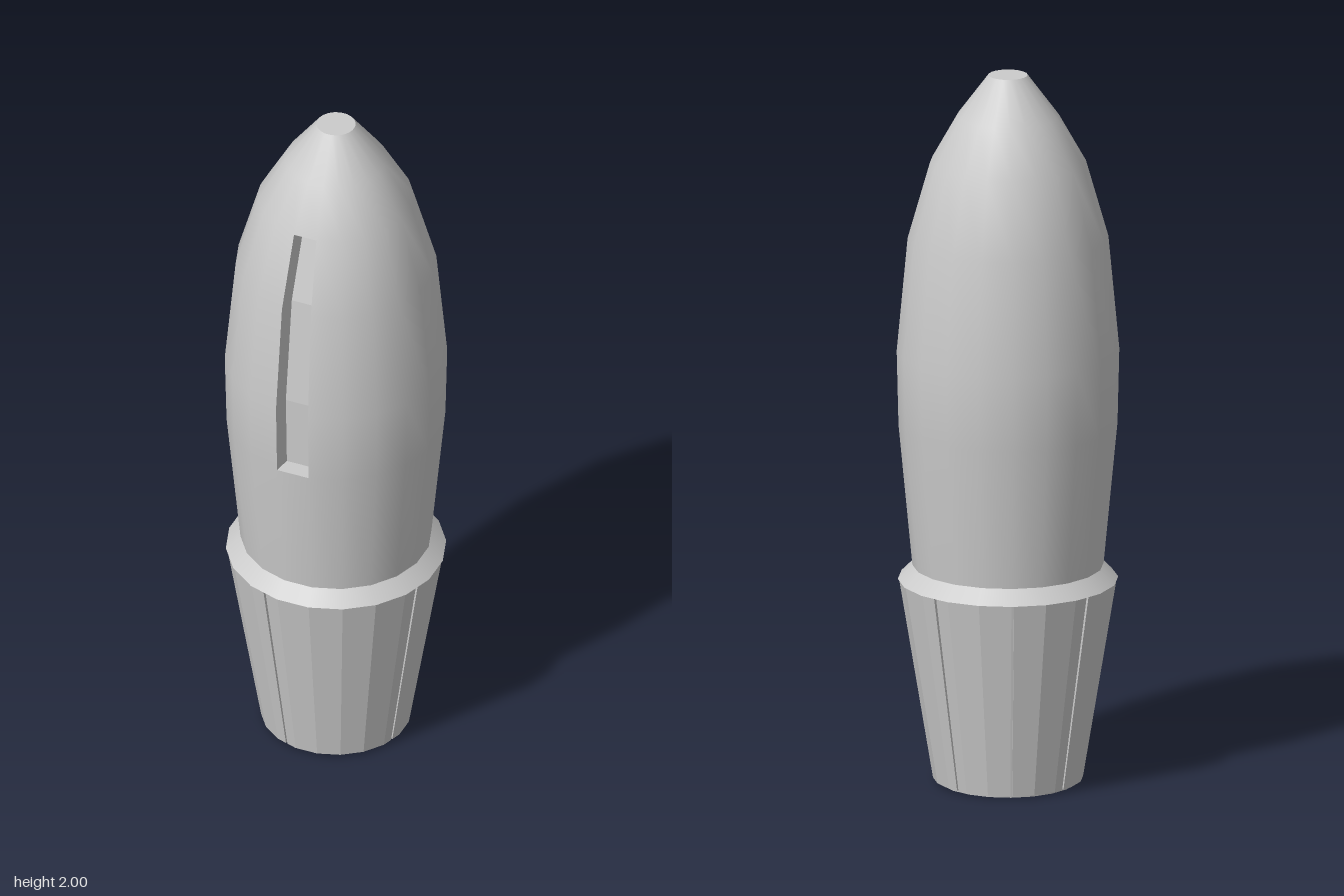
import * as THREE from 'three';

const SIDES = 20;
const STEP = (Math.PI * 2) / SIDES;
const smooth = new THREE.MeshStandardMaterial({ color: 0xcccccc });
const flat = new THREE.MeshStandardMaterial({ color: 0xcccccc, flatShading: true });

const point = (r, a, y) => [r * Math.sin(a), y, r * Math.cos(a)];

// Revolved surface; profile is [radius, height] pairs, rising profiles face outward
function lathe(name, profile) {
  const pts = profile.map(([r, y]) => new THREE.Vector2(r, y));
  const mesh = new THREE.Mesh(new THREE.LatheGeometry(pts, SIDES), smooth);
  mesh.name = name;
  return mesh;
}

// Flat-shaded skin through cross-sections stacked upward, plus optional extra quads
function skin(name, sections, quads = []) {
  const pos = [];
  const quad = (a, b, c, d) => pos.push(...a, ...b, ...c, ...a, ...c, ...d);
  for (let j = 0; j < sections.length - 1; j++) {
    const lo = sections[j], hi = sections[j + 1];
    for (let i = 0; i < lo.length - 1; i++) quad(lo[i], lo[i + 1], hi[i + 1], hi[i]);
  }
  quads.forEach((q) => quad(...q));
  const geo = new THREE.BufferGeometry();
  geo.setAttribute('position', new THREE.Float32BufferAttribute(pos, 3));
  geo.computeVertexNormals();
  const mesh = new THREE.Mesh(geo, flat);
  mesh.name = name;
  return mesh;
}

export function createModel() {
  const model = new THREE.Group();
  model.name = 'projectile';

  // Ogive body with one facet left open for the slot
  const profile = [[0.262, 0.612], [0.3, 1.01], [0.305, 1.22], [0.275, 1.54],
    [0.2135, 1.755], [0.14, 1.885], [0.054, 2]];
  const slotSegment = 18, firstRow = 1, lastRow = 4;
  const body = lathe('body', profile);
  const rows = profile.length - 1;
  const index = Array.from(body.geometry.index.array);
  const kept = index.filter((_, k) => {
    const cell = Math.floor(k / 6);
    const row = cell % rows;
    return !(Math.floor(cell / rows) === slotSegment && row >= firstRow && row < lastRow);
  });
  body.geometry.setIndex(kept);
  model.add(body);
  model.add(lathe('noseCap', [[0.054, 2], [0, 2]]));

  // Recessed slot following the body curve
  const depth = 0.05, a0 = slotSegment * STEP, a1 = a0 + STEP;
  const slot = profile.slice(firstRow, lastRow + 1).map(([r, y]) => [
    point(r, a0, y), point(r - depth, a0, y), point(r - depth, a1, y), point(r, a1, y),
  ]);
  const low = slot[0], high = slot[slot.length - 1];
  model.add(skin('slot', slot, [
    [low[0], low[3], low[2], low[1]],
    [high[0], high[1], high[2], high[3]],
  ]));

  // Sloping collar between body and skirt
  model.add(lathe('collar', [[0.302, 0.572], [0.262, 0.612]]));
  model.add(lathe('collarUnderside', [[0.26, 0.572], [0.302, 0.572]]));

  // Hollow tail tube behind the skirt panels
  model.add(lathe('tailInside', [[0.277, 0.57], [0.187, 0]]));
  model.add(lathe('tailOutside', [[0.192, 0], [0.284, 0.572]]));
  model.add(lathe('tailRim', [[0.187, 0], [0.2, 0]]));
  model.add(lathe('tailCeiling', [[0, 0.57], [0.278, 0.57]]));

  // Skirt panels separated by narrow grooves; the front panel is double width
  const skirt = new THREE.Group();
  skirt.name = 'skirt';
  const gap = 0.013, eighth = Math.PI / 4;
  const facetRadius = (r, a) => {
    const offset = a - (Math.floor(a / STEP + 1e-6) + 0.5) * STEP;
    return (r * Math.cos(STEP / 2)) / Math.cos(offset);
  };
  for (let k = 0; k < 7; k++) {
    const start = (k === 0 ? -1 : k) * eighth + gap;
    const end = (k + 1) * eighth - gap;
    const angles = [start];
    for (let i = Math.ceil(start / STEP); i * STEP < end; i++) angles.push(i * STEP);
    angles.push(end);
    const section = (inner, outer, y) => [
      point(facetRadius(inner, start), start, y),
      ...angles.map((a) => point(facetRadius(outer, a), a, y)),
      point(facetRadius(inner, end), end, y),
    ];
    const bottom = angles.slice(1).map((b, i) => {
      const a = angles[i];
      const at = (r, t) => point(facetRadius(r, t), t, 0.008);
      return [at(0.19, a), at(0.19, b), at(0.206, b), at(0.206, a)];
    });
    skirt.add(skin('skirtPanel', [section(0.19, 0.206, 0.008), section(0.282, 0.299, 0.572)], bottom));
  }
  model.add(skirt);
  return model;
}
